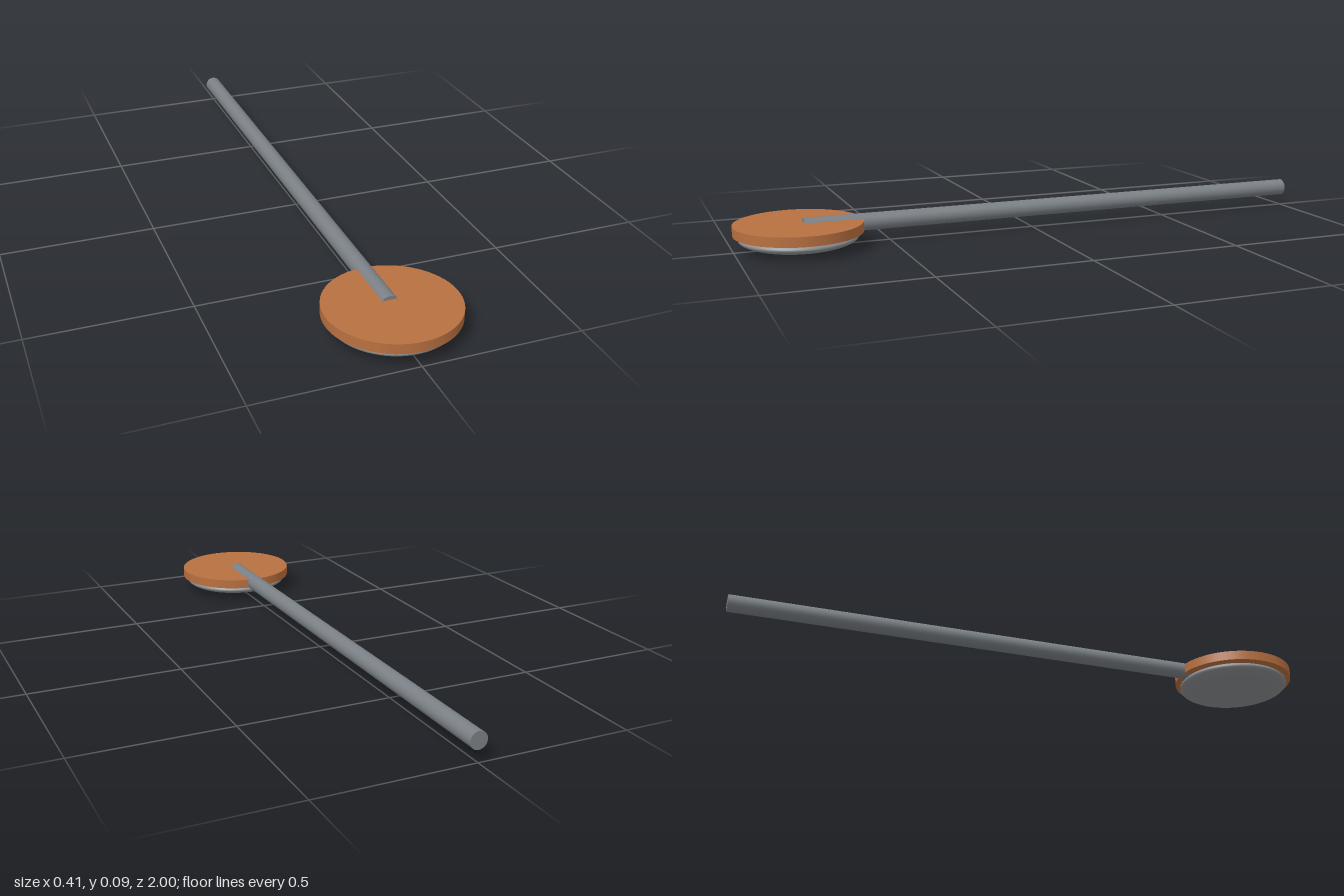
import * as THREE from 'three';

const DISC_Z = 0.795;

function addPart(group, name, geometry, color, y, z) {
  const mesh = new THREE.Mesh(geometry, new THREE.MeshStandardMaterial({ color }));
  mesh.name = name;
  mesh.position.set(0, y, z);
  group.add(mesh);
}

export function createModel() {
  const group = new THREE.Group();
  group.name = 'discOnRod';

  // Flat copper disc
  addPart(group, 'disc', new THREE.CylinderGeometry(0.205, 0.205, 0.032, 64), 0xb87040, 0.065, DISC_Z);

  // Flattened ball tucked under the disc
  const pad = new THREE.SphereGeometry(0.189, 64, 32).scale(1, 0.035 / 0.189, 1);
  addPart(group, 'roundedPad', pad, 0x8a8d8f, 0.035, DISC_Z);

  // Long round handle, ending near the middle of the disc
  const rod = new THREE.CylinderGeometry(0.028, 0.028, 1.78, 32).rotateX(Math.PI / 2);
  addPart(group, 'handle', rod, 0x7a8085, 0.066, -0.11);

  return group;
}
